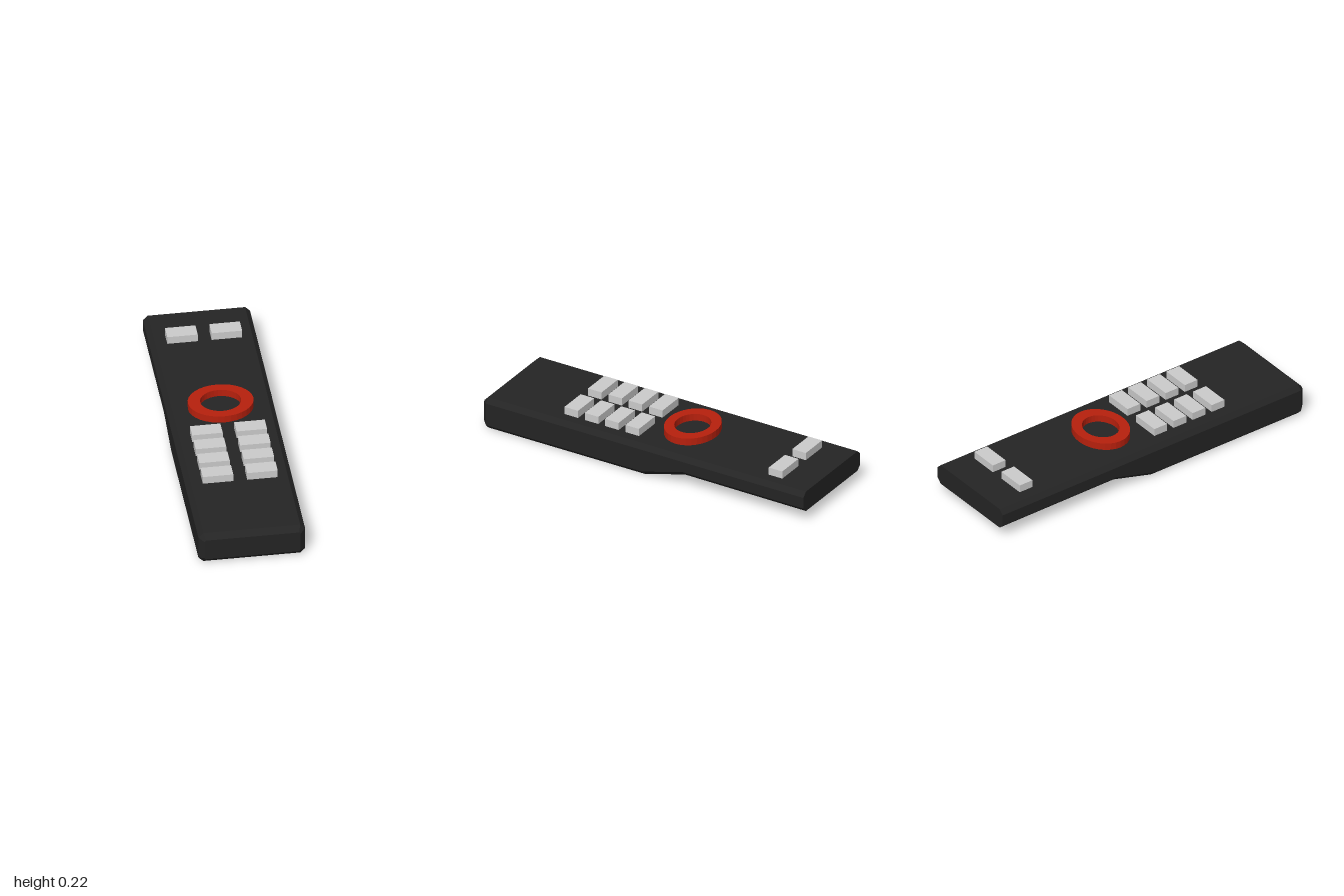
import * as THREE from 'three';

const mat = (name, color) => {
  const m = new THREE.MeshStandardMaterial({ color });
  m.name = name;
  return m;
};

// Chamfered rectangle in the xy plane, counter-clockwise seen from the front
function section(z, w, y0, y1, c) {
  return [
    [-w + c, y0], [w - c, y0], [w, y0 + c], [w, y1 - c],
    [w - c, y1], [-w + c, y1], [-w, y1 - c], [-w, y0 + c],
  ].map(([x, y]) => new THREE.Vector3(x, y, z));
}

// Flat-faced skin through cross-sections ordered front to back, capped at both ends
function loft(sections) {
  const pts = [];
  const n = sections[0].length;
  for (let s = 0; s < sections.length - 1; s++) {
    const a = sections[s], b = sections[s + 1];
    for (let i = 0; i < n; i++) {
      const j = (i + 1) % n;
      pts.push(a[i], b[i], b[j], a[i], b[j], a[j]);
    }
  }
  const first = sections[0], last = sections[sections.length - 1];
  for (let i = 1; i < n - 1; i++) {
    pts.push(first[0], first[i], first[i + 1]);
    pts.push(last[0], last[i + 1], last[i]);
  }
  const g = new THREE.BufferGeometry().setFromPoints(pts);
  g.computeVertexNormals();
  return g;
}

export function createModel() {
  const black = mat('black plastic', 0x242424);
  const red = mat('red plastic', 0xb7200d);
  const grey = mat('light grey plastic', 0xcbcbcb);

  const model = new THREE.Group();
  model.name = 'remoteControl';
  const add = (name, geometry, material, x = 0, y = 0, z = 0) => {
    const mesh = new THREE.Mesh(geometry, material);
    mesh.name = name;
    mesh.position.set(x, y, z);
    model.add(mesh);
  };

  // Body: thick grip at the front, stepping up to a thin rear half
  add('body', loft([
    section(1, 0.257, 0.031, 0.153, 0.008),
    section(0.97, 0.285, 0, 0.182, 0.026),
    section(0, 0.285, 0, 0.182, 0.026),
    section(-0.25, 0.286, 0.069, 0.182, 0.026),
    section(-1, 0.286, 0.065, 0.182, 0.026),
  ]), black);

  // Oval navigation ring
  const oval = new THREE.Shape().absellipse(0, 0, 0.175, 0.144, 0, Math.PI * 2);
  oval.holes.push(new THREE.Path().absellipse(0, 0, 0.109, 0.094, 0, Math.PI * 2));
  const ring = new THREE.ExtrudeGeometry(oval, { depth: 0.046, bevelEnabled: false, curveSegments: 16 });
  ring.rotateX(-Math.PI / 2);
  add('navigationRing', ring, red, 0, 0.176, -0.138);

  // Two columns of buttons
  const key = new THREE.BoxGeometry(0.163, 0.049, 0.084);
  for (const z of [-0.777, 0.112, 0.238, 0.364, 0.49]) {
    add('rightButton', key, grey, -0.114, 0.2005, z);
    add('leftButton', key, grey, 0.123, 0.2005, z);
  }
  return model;
}
